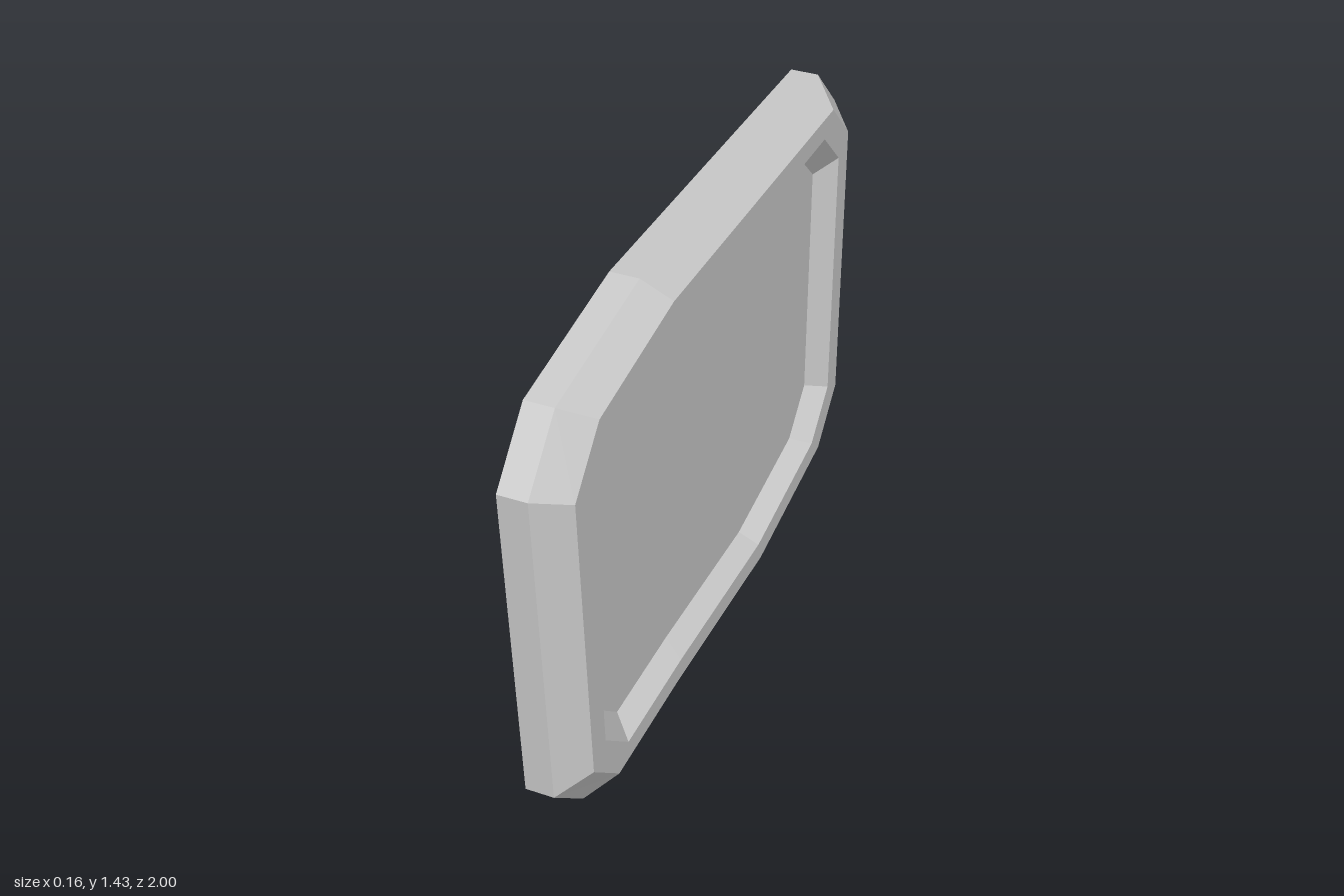
import * as THREE from 'three';

// Outline of the frame as [z, y], clockwise seen from +x
const OUTLINE = [
  [1, 1.205], [0.847, 1.365], [0.38, 1.43], [-0.847, 1.38], [-1, 1.225], [-0.99, 0.24],
  [-0.835, 0.08], [-0.305, 0.003], [0.385, 0.05], [0.8, 0.06], [0.96, 0.22],
];
const MID_Y = 0.715;

const material = new THREE.MeshStandardMaterial({
  color: 0xcccccc, flatShading: true, side: THREE.DoubleSide,
});

// The outline shrunk towards its middle and placed at depth x
function ring(x, scaleZ, scaleY) {
  return OUTLINE.map(([z, y]) => [x, MID_Y + (y - MID_Y) * scaleY, z * scaleZ]);
}

function makeMesh(name, corners) {
  const geometry = new THREE.BufferGeometry();
  geometry.setAttribute('position', new THREE.Float32BufferAttribute(corners.flat(), 3));
  geometry.computeVertexNormals();
  const mesh = new THREE.Mesh(geometry, material);
  mesh.name = name;
  return mesh;
}

// Strip of flat quads joining two rings
function band(name, a, b) {
  const corners = [];
  a.forEach((p, i) => {
    const j = (i + 1) % a.length;
    corners.push(p, b[i], a[j], b[i], b[j], a[j]);
  });
  return makeMesh(name, corners);
}

// Flat fan closing a ring
function cap(name, a) {
  const centre = [a[0][0], MID_Y, 0];
  return makeMesh(name, a.flatMap((p, i) => [p, centre, a[(i + 1) % a.length]]));
}

export function createModel() {
  const back = ring(-0.08, 1, 1);
  const shoulder = ring(0, 1, 1);
  const rimOuter = ring(0.075, 0.916, 0.909);
  const rimInner = ring(0.075, 0.84, 0.818);
  const panelEdge = ring(0.02, 0.777, 0.753);

  // Thin shell, open at the back
  const model = new THREE.Group();
  model.name = 'framedPanel';
  model.add(
    band('outerWall', back, shoulder),
    band('outerBevel', shoulder, rimOuter),
    band('rimFace', rimOuter, rimInner),
    band('innerBevel', rimInner, panelEdge),
    cap('recessedPanel', panelEdge),
  );
  return model;
}
